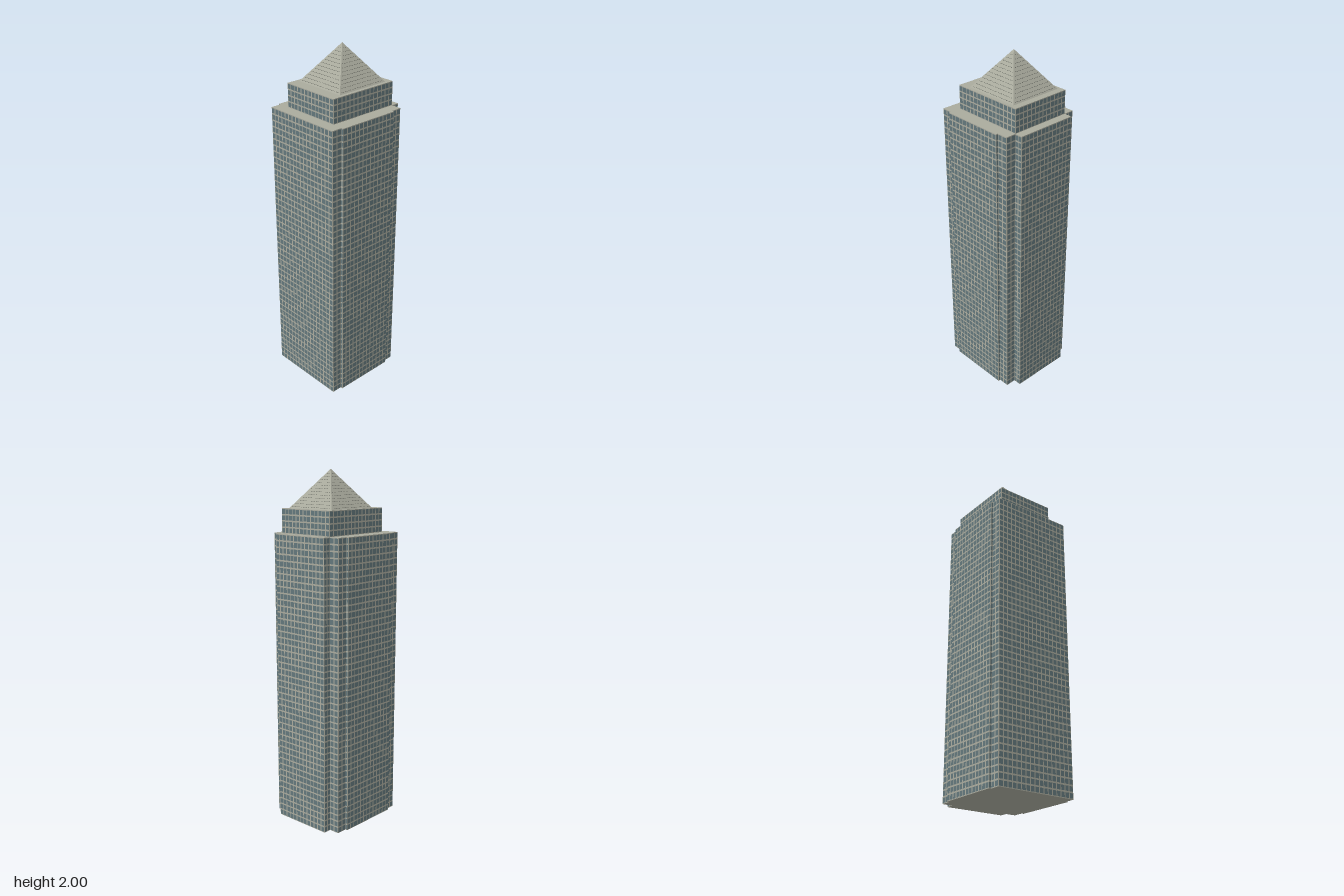
import * as THREE from 'three';
import { mergeGeometries } from 'three/addons/utils/BufferGeometryUtils.js';

const stone = new THREE.MeshStandardMaterial({ color: 0xa9aa9d });
stone.name = 'stone';
const glass = new THREE.MeshStandardMaterial({ color: 0x62767b });
glass.name = 'glass';
const slit = new THREE.MeshStandardMaterial({ color: 0x555751 });
slit.name = 'dark slit';

// Plans run clockwise seen from above, as [x, z]
const shaftPlan = [
  [-0.264, -0.24], [-0.203, -0.24], [-0.203, -0.253], [0.166, -0.253], [0.166, -0.24],
  [0.228, -0.24], [0.228, -0.179], [0.274, -0.179], [0.274, 0.179], [0.228, 0.179],
  [0.228, 0.24], [0.166, 0.24], [0.166, 0.253], [-0.203, 0.253], [-0.203, 0.24], [-0.264, 0.24],
];
const crownPlan = [[-0.2, -0.178], [0.228, -0.178], [0.228, 0.178], [-0.2, 0.178]];
const SHAFT_TOP = 1.655, CROWN_TOP = 1.79, TOP = 2;

function add(parent, name, geometry, material) {
  const mesh = new THREE.Mesh(geometry, material);
  mesh.name = name;
  parent.add(mesh);
}

// Solid stone block over a plan
function block(plan, y0, y1) {
  const shape = new THREE.Shape(plan.map(([x, z]) => new THREE.Vector2(x, -z)));
  return new THREE.ExtrudeGeometry(shape, { depth: y1 - y0, bevelEnabled: false })
    .rotateX(-Math.PI / 2).translate(0, y0, 0);
}

// Grid of window panes just proud of every wall of a plan
function windows(plan, y0, y1, floors) {
  const panes = [], pitch = (y1 - y0) / floors;
  plan.forEach(([ax, az], i) => {
    const [bx, bz] = plan[(i + 1) % plan.length];
    const dx = bx - ax, dz = bz - az, length = Math.hypot(dx, dz);
    const nx = dz / length, nz = -dx / length;
    const columns = Math.max(1, Math.round(length / 0.028));
    const bay = length / columns;
    for (let c = 0; c < columns; c++) {
      const t = (c + 0.5) / columns;
      for (let f = 0; f < floors; f++) {
        panes.push(new THREE.PlaneGeometry(bay * 0.78, pitch * 0.76)
          .rotateY(Math.atan2(nx, nz))
          .translate(ax + dx * t + nx * 0.001, y0 + (f + 0.5) * pitch, az + dz * t + nz * 0.001));
      }
    }
  });
  return mergeGeometries(panes);
}

// Rows of short slits on the four slopes of the roof
function roofSlits(halfX, halfZ, height) {
  const slits = [], rows = 13;
  for (let side = 0; side < 4; side++) {
    const half = side % 2 ? halfZ : halfX, run = side % 2 ? halfX : halfZ;
    const tilt = Math.atan2(run, height);
    for (let r = 0; r < rows; r++) {
      const t = (r + 0.5) / rows, width = 2 * half * (1 - t) - 0.006;
      const count = Math.floor(width / 0.012);
      for (let k = 0; k < count; k++) {
        slits.push(new THREE.PlaneGeometry(0.007, 0.0025)
          .rotateX(-tilt)
          .translate((k - (count - 1) / 2) * 0.012, height * t + 0.0006, run * (1 - t) + 0.0006)
          .rotateY(side * Math.PI / 2));
      }
    }
  }
  return mergeGeometries(slits);
}

export function createModel() {
  const model = new THREE.Group();
  model.name = 'tower';
  const tower = new THREE.Group();
  tower.name = 'turnedTower';
  tower.rotation.y = THREE.MathUtils.degToRad(-9.8);
  model.add(tower);

  // Shaft and set-back crown
  add(tower, 'shaft', block(shaftPlan, 0, SHAFT_TOP), stone);
  add(tower, 'shaftWindows', windows(shaftPlan, 0, SHAFT_TOP, 46), glass);
  add(tower, 'crown', block(crownPlan, SHAFT_TOP, CROWN_TOP), stone);
  add(tower, 'crownWindows', windows(crownPlan, SHAFT_TOP, CROWN_TOP, 4), glass);

  // Pyramid roof
  const halfX = 0.164, halfZ = 0.158, height = TOP - CROWN_TOP;
  const roof = new THREE.Group();
  roof.name = 'roof';
  roof.position.set(0.027, CROWN_TOP, 0);
  tower.add(roof);
  const pyramid = new THREE.ConeGeometry(Math.SQRT2, 1, 4, 1, true)
    .rotateY(Math.PI / 4).translate(0, 0.5, 0).scale(halfX, height, halfZ).toNonIndexed();
  pyramid.computeVertexNormals();
  add(roof, 'pyramid', pyramid, stone);
  add(roof, 'roofSlits', roofSlits(halfX, halfZ, height), slit);

  return model;
}
